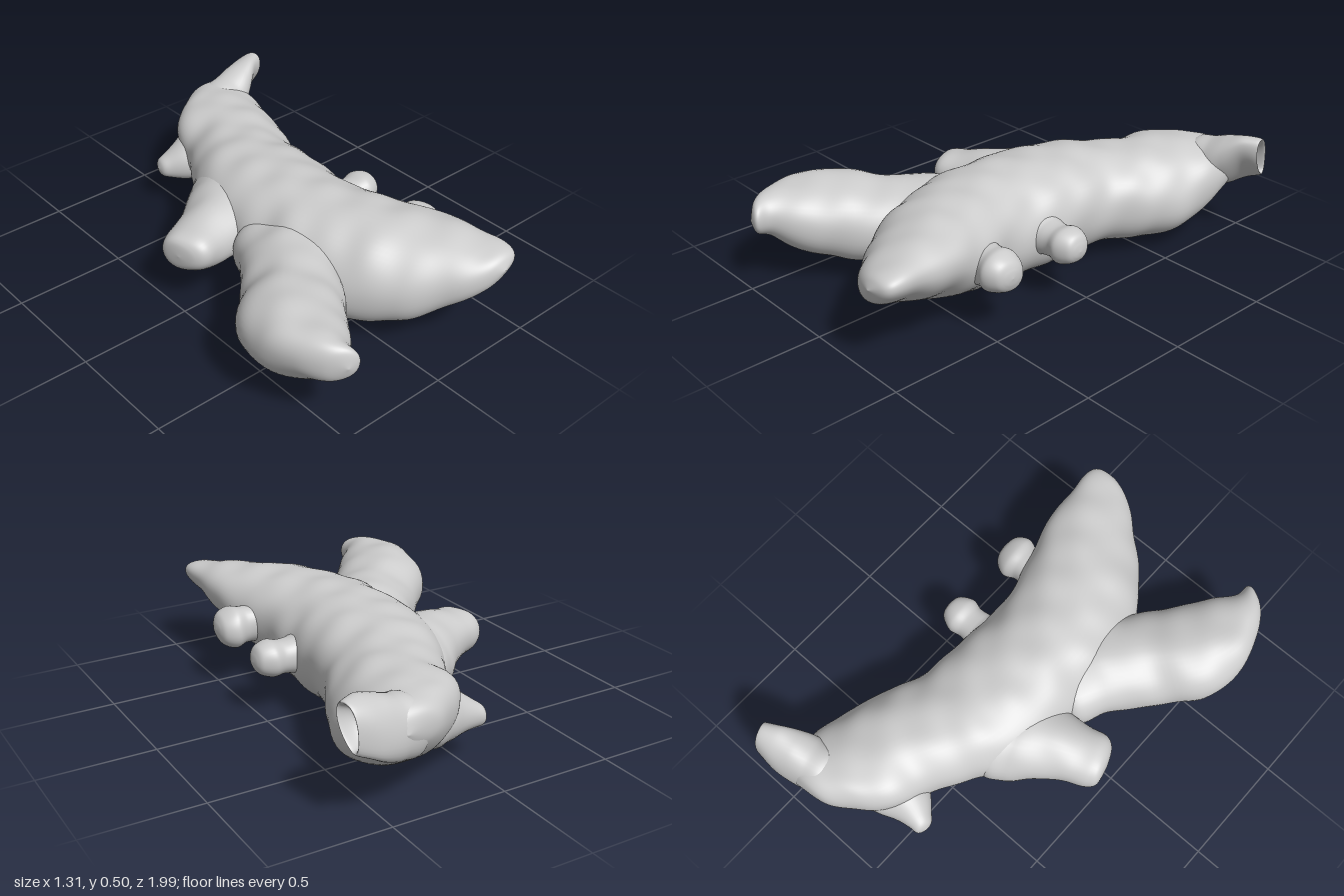
import * as THREE from 'three';
import { mergeVertices } from 'three/addons/utils/BufferGeometryUtils.js';

const material = new THREE.MeshStandardMaterial({ color: 0xcccccc, side: THREE.DoubleSide });

// Smooth interpolation through a column of the station table
function spline(a, b, c, d, t) {
  return 0.5 * (2 * b + (c - a) * t + (2 * a - 5 * b + 4 * c - d) * t * t + (3 * b - a - 3 * c + d) * t * t * t);
}

// Gentle lumps of the skin
function lump(x, y, z) {
  return Math.sin(13 * x + 1) * Math.sin(15 * y + 2) * Math.sin(14 * z)
    + 0.5 * Math.sin(27 * x - 9 * y) * Math.sin(25 * z + 11 * y)
    + 0.3 * Math.sin(34 * z + 4 * x);
}

// Skin over oval sections; station = [x, y, z, half width, half height, sideways slope]
// The slope acts more on the underside than on the top.
function root(name, stations, { steps = 10, sides = 40, rough = 0.007 } = {}) {
  const first = stations[0], last = stations[stations.length - 1];
  const dir = new THREE.Vector2(last[0] - first[0], last[2] - first[2]).normalize();
  const sx = dir.y, sz = -dir.x;
  const pos = [], index = [];
  const rows = (stations.length - 1) * steps;
  const at = i => stations[Math.min(Math.max(i, 0), stations.length - 1)];
  for (let r = 0; r <= rows; r++) {
    const i = Math.min(Math.floor(r / steps), stations.length - 2), t = r / steps - i;
    const [x, y, z, w0, h0, slope] = first.map((_, k) => spline(at(i - 1)[k], at(i)[k], at(i + 1)[k], at(i + 2)[k], t));
    const w = Math.max(w0, 0), h = Math.max(h0, 0);
    for (let s = 0; s < sides; s++) {
      const a = s / sides * Math.PI * 2, c = Math.cos(a), n = Math.sin(a);
      const u = Math.sign(c) * Math.abs(c) ** 0.93, v = Math.sign(n) * Math.abs(n) ** 0.93;
      const px = x + sx * u * w, py = y + v * h + slope * u * w * (1 - 0.35 * v), pz = z + sz * u * w;
      const bump = rough * lump(px, py, pz) * Math.min(1, w / 0.06);
      pos.push(px + sx * c * bump, py + n * bump, pz + sz * c * bump);
      if (r < rows) {
        const p = r * sides + s, q = r * sides + (s + 1) % sides;
        index.push(p, q, p + sides, q, q + sides, p + sides);
      }
    }
  }
  let g = new THREE.BufferGeometry();
  g.setAttribute('position', new THREE.Float32BufferAttribute(pos, 3));
  g.setIndex(index);
  g = mergeVertices(g, 1e-5);
  g.computeVertexNormals();
  const mesh = new THREE.Mesh(g, material);
  mesh.name = name;
  return mesh;
}

export function createModel() {
  const group = new THREE.Group();
  group.name = 'gingerRoot';

  // Main rhizome, from the back to the front tip
  group.add(root('mainRoot', [
    [0.42, 0.33, -0.975, 0, 0, 0],
    [0.39, 0.33, -0.95, 0.11, 0.07, 0],
    [0.35, 0.305, -0.88, 0.175, 0.13, -0.05],
    [0.30, 0.28, -0.78, 0.235, 0.165, -0.1],
    [0.26, 0.25, -0.62, 0.255, 0.195, -0.1],
    [0.19, 0.245, -0.46, 0.275, 0.205, -0.07],
    [0.10, 0.245, -0.30, 0.285, 0.22, 0],
    [0.07, 0.245, -0.12, 0.29, 0.235, 0],
    [0.06, 0.245, 0.08, 0.29, 0.24, 0],
    [0.06, 0.245, 0.26, 0.285, 0.24, 0.05],
    [0.10, 0.26, 0.44, 0.29, 0.22, 0.13],
    [0.15, 0.28, 0.60, 0.28, 0.19, 0.24],
    [0.22, 0.30, 0.76, 0.23, 0.145, 0.32],
    [0.30, 0.335, 0.90, 0.15, 0.09, 0.35],
    [0.34, 0.355, 0.97, 0.09, 0.055, 0.3],
    [0.35, 0.365, 0.998, 0, 0, 0.3],
  ], { sides: 64 }));

  // Thick branch forking to the front
  group.add(root('frontBranch', [
    [0.00, 0.24, 0.06, 0, 0, 0],
    [-0.04, 0.24, 0.13, 0.22, 0.14, 0],
    [-0.13, 0.235, 0.27, 0.225, 0.17, 0],
    [-0.26, 0.235, 0.42, 0.21, 0.172, 0],
    [-0.41, 0.255, 0.59, 0.22, 0.17, -0.08],
    [-0.49, 0.285, 0.75, 0.18, 0.145, -0.05],
    [-0.51, 0.315, 0.87, 0.11, 0.10, 0],
    [-0.495, 0.32, 0.95, 0.07, 0.07, 0],
    [-0.485, 0.32, 0.982, 0, 0, 0],
  ], { sides: 48 }));

  // Short blunt branch on the side
  group.add(root('sideBranch', [
    [0.06, 0.24, -0.21, 0, 0, 0],
    [-0.02, 0.24, -0.20, 0.22, 0.16, 0],
    [-0.13, 0.24, -0.17, 0.205, 0.16, 0],
    [-0.24, 0.245, -0.12, 0.16, 0.135, 0],
    [-0.36, 0.25, -0.075, 0.13, 0.11, 0],
    [-0.44, 0.255, -0.05, 0.115, 0.09, 0],
    [-0.48, 0.255, -0.045, 0.08, 0.06, 0],
    [-0.49, 0.255, -0.04, 0, 0, 0],
  ]));

  // Pointed bud near the back
  group.add(root('backBud', [
    [0.24, 0.24, -0.69, 0, 0, 0],
    [0.18, 0.24, -0.69, 0.15, 0.13, 0],
    [0.10, 0.23, -0.70, 0.135, 0.115, 0],
    [0.03, 0.215, -0.71, 0.10, 0.09, 0],
    [-0.04, 0.20, -0.73, 0.06, 0.06, 0],
    [-0.075, 0.195, -0.74, 0.037, 0.037, 0],
    [-0.088, 0.195, -0.74, 0, 0, 0],
  ]));

  // Two round buds in a row on the left side
  for (const [y, z, r] of [[0.25, 0.07, 0.085], [0.27, 0.44, 0.095]]) {
    group.add(root('roundBud', [
      [0.24, y, z, 0, 0, 0],
      [0.29, y, z, r * 1.05, r * 1.05, 0],
      [0.35, y, z, r * 0.92, r * 0.92, 0],
      [0.40, y, z, r * 0.86, r * 0.88, 0],
      [0.45, y, z, r, r * 0.96, 0],
      [0.50, y, z, r * 0.76, r * 0.75, 0],
      [0.52, y, z, r * 0.45, r * 0.4, 0],
      [0.527, y, z, 0, 0, 0],
    ]));
  }

  // Flared stem stub with a hollow broken end
  group.add(root('brokenStem', [
    [0.28, 0.31, -0.84, 0, 0, 0],
    [0.34, 0.31, -0.85, 0.10, 0.12, -0.1],
    [0.43, 0.325, -0.87, 0.105, 0.125, -0.15],
    [0.50, 0.36, -0.895, 0.095, 0.115, -0.4],
    [0.57, 0.395, -0.92, 0.08, 0.095, -0.75],
    [0.635, 0.405, -0.935, 0.06, 0.085, -0.75],
    [0.642, 0.405, -0.935, 0.052, 0.072, -0.75],
    [0.585, 0.395, -0.92, 0.04, 0.05, -0.75],
    [0.56, 0.39, -0.915, 0, 0, -0.75],
  ]));

  return group;
}
